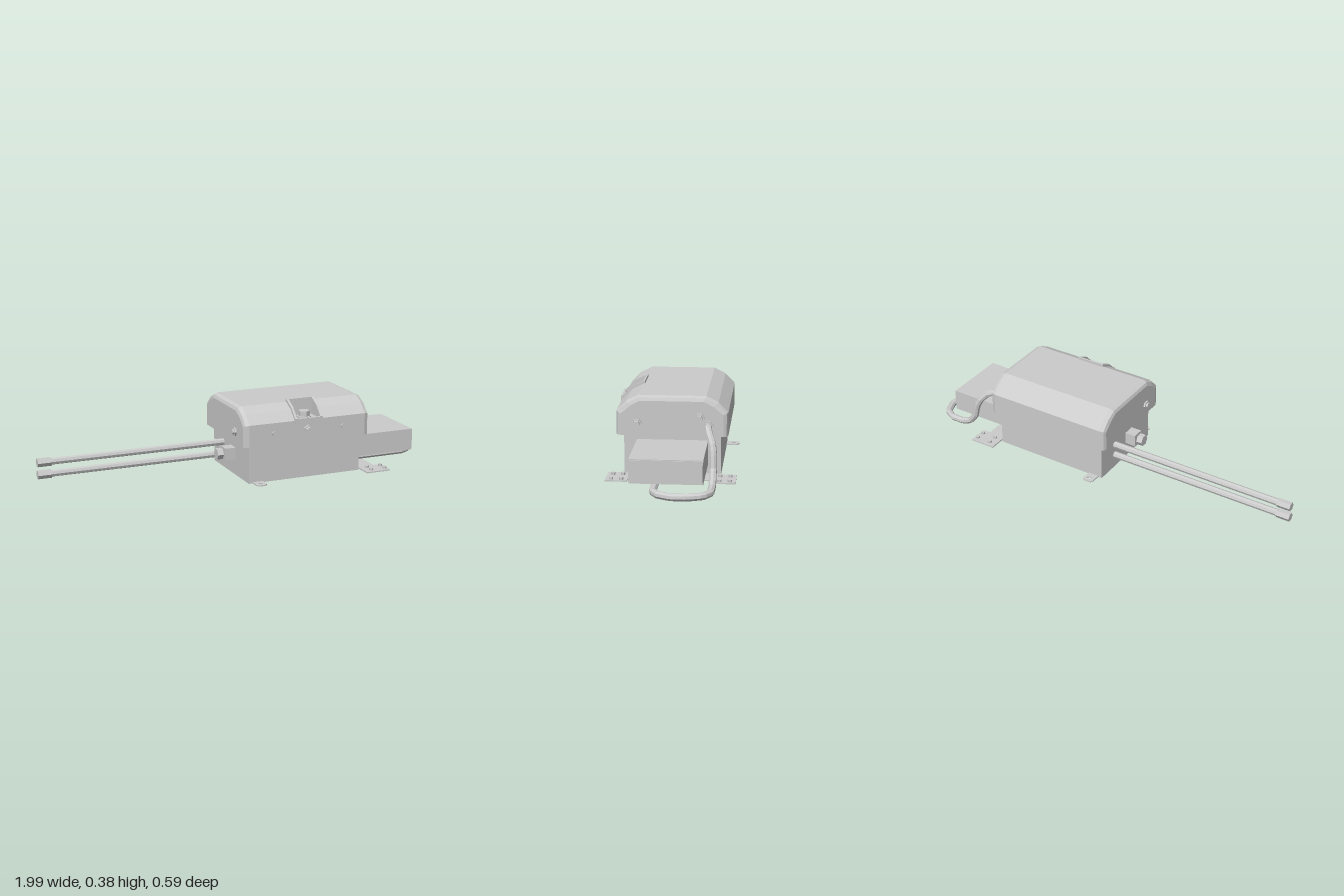
import * as THREE from 'three';

const grey = new THREE.MeshStandardMaterial({ color: 0xcccccc, flatShading: true });
const thin = new THREE.MeshStandardMaterial({ color: 0xcccccc, flatShading: true, side: THREE.DoubleSide });

export function createModel() {
  const model = new THREE.Group();

  const add = (name, geo, x = 0, y = 0, z = 0, mat = grey) => {
    const m = new THREE.Mesh(geo, mat);
    m.name = name;
    m.position.set(x, y, z);
    model.add(m);
    return m;
  };
  // box given by its lower and upper corners
  const box = (name, x0, x1, y0, y1, z0, z1) =>
    add(name, new THREE.BoxGeometry(x1 - x0, y1 - y0, z1 - z0), (x0 + x1) / 2, (y0 + y1) / 2, (z0 + z1) / 2);
  // prism along an axis, starting at a point
  const prism = (name, axis, r, len, x, y, z, sides = 6) => {
    const g = new THREE.CylinderGeometry(r, r, len, sides);
    g.translate(0, len / 2, 0);
    if (axis === 'x') g.rotateZ(-Math.PI / 2);
    if (axis === 'z') g.rotateX(Math.PI / 2);
    return add(name, g, x, y, z);
  };
  const poly = (pts) => pts.map(([x, y]) => new THREE.Vector2(x, y));
  // plan outline (x, z) raised along y, with optional holes
  const slab = (name, pts, holes, y, h, mat = grey) => {
    const s = new THREE.Shape(poly(pts));
    holes.forEach((p) => s.holes.push(p));
    const g = new THREE.ExtrudeGeometry(s, { depth: h, bevelEnabled: false });
    g.rotateX(-Math.PI / 2);
    return add(name, g, 0, y, 0, mat);
  };
  const rect = (x0, x1, z) => [[x0, -z], [x1, -z], [x1, z], [x0, z]];
  const disc = (x, z, r) => new THREE.Path().absarc(x, z, r, 0, Math.PI * 2, true);

  // hollow lower housing, open underneath
  slab('housing', rect(-0.04, 0.56, 0.222), [new THREE.Path(poly(rect(-0.03, 0.55, 0.212)))], 0, 0.2);

  // cover: roof profile swept along x with rounded ends, open over the front pocket
  const half = [[0.255, 0.19], [0.255, 0.3], [0.21, 0.345], [0.155, 0.373]];
  const profile = [...half, ...half.slice().reverse().map(([z, y]) => [-z, y])];
  const stations = [[-0.075, 0.022], [-0.068, 0.007], [-0.05, 0], [0.195, 0], [0.325, 0], [0.57, 0], [0.588, 0.007], [0.595, 0.022]];
  const point = (i, j) => {
    const [x, inset] = stations[i];
    const [z, y] = profile[j];
    const drop = [0, 0.4, 0.75, 1][Math.min(j, 7 - j)];
    return [x, y - inset * drop, z - Math.sign(z) * inset * (1 - 0.6 * (drop === 1 ? 1 : 0))];
  };
  const verts = [];
  for (let i = 0; i < stations.length - 1; i++) {
    for (let j = 0; j < profile.length - 1; j++) {
      if (i === 3 && (j === 1 || j === 2)) continue;
      const [a, b, c, d] = [point(i, j), point(i + 1, j), point(i + 1, j + 1), point(i, j + 1)];
      verts.push(...a, ...b, ...c, ...a, ...c, ...d);
    }
  }
  const last = stations.length - 1;
  for (let k = 1; k < profile.length - 1; k++) {
    verts.push(...point(last, 0), ...point(last, k + 1), ...point(last, k));
    verts.push(...point(0, 0), ...point(0, k), ...point(0, k + 1));
  }
  const shell = new THREE.BufferGeometry();
  shell.setAttribute('position', new THREE.Float32BufferAttribute(verts, 3));
  shell.computeVertexNormals();
  add('cover', shell, 0, 0, 0, thin);
  slab('coverRim', [[-0.075, -0.233], [-0.05, -0.255], [0.57, -0.255], [0.595, -0.233],
    [0.595, 0.233], [0.57, 0.255], [-0.05, 0.255], [-0.075, 0.233]],
  [new THREE.Path(poly(rect(-0.04, 0.56, 0.222)))], 0.19, 0.004);

  // recessed pocket in the front slope, with its raised frame and hex knob
  const cheek = new THREE.Shape(poly([[0.15, 0.3], [0.15, 0.385], [0.158, 0.385], [0.213, 0.357],
    [0.257, 0.312], [0.265, 0.312], [0.265, 0.282], [0.255, 0.282], [0.25, 0.3]]));
  for (const x of [0.187, 0.323]) {
    const g = new THREE.ExtrudeGeometry(cheek, { depth: 0.012, bevelEnabled: false });
    g.rotateY(-Math.PI / 2);
    add('pocketCheek', g, x + 0.012, 0, 0);
  }
  box('pocketBack', 0.187, 0.335, 0.295, 0.385, 0.15, 0.158);
  box('pocketFloor', 0.19, 0.332, 0.292, 0.3, 0.15, 0.255);
  box('pocketLip', 0.187, 0.335, 0.282, 0.31, 0.253, 0.265);
  prism('knobFlange', 'y', 0.036, 0.008, 0.26, 0.3, 0.205, 12);
  prism('knob', 'y', 0.029, 0.034, 0.26, 0.3, 0.205);

  // front fasteners
  prism('frontFlange', 'z', 0.028, 0.01, 0.26, 0.247, 0.255);
  prism('frontBolt', 'z', 0.021, 0.025, 0.26, 0.247, 0.255);
  for (const x of [0.077, 0.447]) prism('frontScrew', 'z', 0.01, 0.008, x, 0.25, 0.255, 10);

  // end plugs and the cable gland
  for (const [y, z] of [[0.245, 0.16], [0.275, -0.125], [0.24, -0.165]]) {
    prism('plugFlange', 'x', 0.025, 0.012, 0.594, y, z);
    prism('plugHead', 'x', 0.018, 0.034, 0.594, y, z);
  }
  prism('plugFlange', 'x', 0.022, 0.008, -0.083, 0.245, 0.135);
  prism('plugHead', 'x', 0.014, 0.018, -0.093, 0.245, 0.135);

  // side box with a shallow stepped edge
  box('sideBox', 0.56, 0.896, 0.053, 0.163, -0.163, 0.163);
  box('sideBoxFace', 0.89, 0.9, 0.057, 0.159, -0.159, 0.159);

  // twin rods with hex ferrules
  for (const y of [0.07, 0.13]) {
    prism('rod', 'x', 0.017, 0.92, -0.95, y, -0.1, 8);
    prism('ferrule', 'x', 0.022, 0.068, -1, y, -0.1);
    prism('rodNut', 'x', 0.024, 0.015, -0.03, y, -0.1);
  }

  // fitting on the left end wall
  box('fittingBlock', -0.095, -0.04, 0.08, 0.14, 0.0, 0.06);
  prism('fittingNut', 'x', 0.029, 0.03, -0.132, 0.11, 0.03);
  prism('fittingBackNut', 'x', 0.028, 0.03, -0.03, 0.11, 0.03);

  // cable from the gland, down behind the side box and looping back beneath it
  const path = new THREE.CurvePath();
  const pts = [[0.61, 0.24, -0.165], [0.64, 0.24, -0.167], [0.68, 0.222, -0.175], [0.71, 0.19, -0.19],
    [0.73, 0.15, -0.196], [0.745, 0.085, -0.197], [0.78, 0.04, -0.197], [0.83, 0.022, -0.197], [0.9, 0.02, -0.195],
    [0.95, 0.02, -0.165], [0.975, 0.02, -0.1], [0.975, 0.02, -0.03], [0.945, 0.02, 0.03],
    [0.9, 0.02, 0.057], [0.78, 0.02, 0.058], [0.56, 0.02, 0.058]].map((p) => new THREE.Vector3(...p));
  for (let i = 1; i < pts.length; i++) path.add(new THREE.LineCurve3(pts[i - 1], pts[i]));
  add('cable', new THREE.TubeGeometry(path, 60, 0.017, 8, false), 0, 0, 0, thin);

  // wide mounting plate with bolted ears
  const ear = [[0.57, 0.295], [0.57, 0.0], [0.66, 0.0]];
  slab('widePlate', [[0.57, -0.295], [0.7, -0.295], [0.7, -0.195], [0.66, -0.195], [0.66, 0.195],
    [0.7, 0.195], [0.7, 0.295], ear[0]], [], 0, 0.006);
  box('plateWeb', 0.54, 0.575, 0, 0.006, -0.21, 0.21);
  for (const s of [-1, 1]) {
    for (const x of [0.607, 0.683]) {
      for (const z of [0.222, 0.268]) prism('plateBolt', 'y', 0.01, 0.011, x, 0.006, s * z);
    }
  }
  // narrow mounting strip with a hole in each tip
  slab('narrowStrip', [[-0.02, -0.27], [-0.01, -0.283], [0.025, -0.283], [0.035, -0.27],
    [0.035, 0.27], [0.025, 0.283], [-0.01, 0.283], [-0.02, 0.27]],
  [disc(0.008, 0.258, 0.01), disc(0.008, -0.258, 0.01)], 0, 0.006);

  return model;
}
